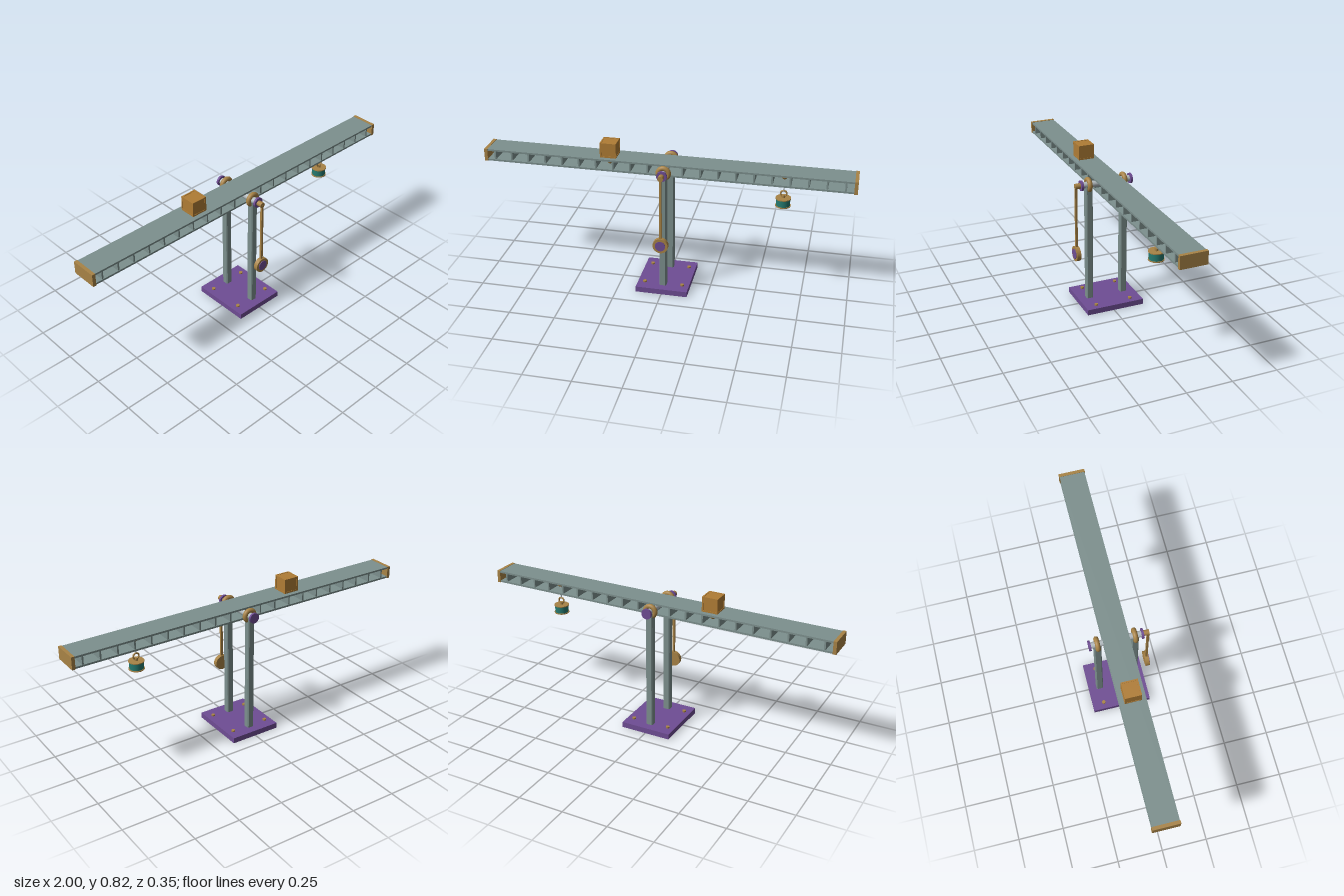
import * as THREE from 'three';

const mat = (color) => new THREE.MeshStandardMaterial({ color });
const STEEL = mat(0x7d908e), GOLD = mat(0xa88346), PURPLE = mat(0x6f4d94);
const TEAL = mat(0x257a70), SILVER = mat(0xb4bcc0), CRATE = mat(0xb07d35);

export function createModel() {
  const model = new THREE.Group();
  model.position.z = -0.01; // the swinging weight makes the frame sit slightly back
  const AXIS_Y = 0.703;

  const add = (name, geometry, material, x, y, z) => {
    const mesh = new THREE.Mesh(geometry, material);
    mesh.name = name;
    mesh.position.set(x, y, z);
    model.add(mesh);
    return mesh;
  };
  const box = (name, m, w, h, d, x, y, z) => add(name, new THREE.BoxGeometry(w, h, d), m, x, y, z);
  const disc = (name, m, r, h, x, y, z) => add(name, new THREE.CylinderGeometry(r, r, h, 32), m, x, y, z);
  // cylinder lying along z
  const pin = (name, m, r, len, x, y, z) => {
    const mesh = disc(name, m, r, len, x, y, z);
    mesh.rotation.x = Math.PI / 2;
    return mesh;
  };

  // base plate with four bolts
  box('basePlate', PURPLE, 0.286, 0.031, 0.328, 0, 0.0155, 0);
  for (const x of [-0.105, 0.105])
    for (const z of [-0.1, 0.1]) disc('baseBolt', GOLD, 0.01, 0.008, x, 0.035, z);

  // posts with chamfered corners, bearing rings and axle caps
  const a = 0.019, c = 0.014;
  const section = new THREE.Shape(
    [[a, c], [c, a], [-c, a], [-a, c], [-a, -c], [-c, -a], [c, -a], [a, -c]]
      .map(([x, y]) => new THREE.Vector2(x, y)));
  const postGeometry = new THREE.ExtrudeGeometry(section, { depth: 0.67, bevelEnabled: false });
  postGeometry.rotateX(-Math.PI / 2);
  for (const s of [-1, 1]) {
    add('post', postGeometry, STEEL, 0, 0.03, s * 0.1);
    add('bearingRing', new THREE.TorusGeometry(0.028, 0.013, 16, 40), GOLD, 0, AXIS_Y, s * 0.1);
    pin('axleCap', PURPLE, 0.028, 0.012, 0, AXIS_Y, s * 0.14);
  }
  pin('axle', SILVER, 0.017, 0.27, 0, AXIS_Y, 0);

  // hollow beam: two plates joined by cross ribs, closed by end caps
  for (const s of [-1, 1]) {
    box('beamPlate', STEEL, 1.97, 0.01, 0.138, 0, AXIS_Y + s * 0.028, 0);
    box('beamEndCap', GOLD, 0.018, 0.069, 0.143, s * 0.991, AXIS_Y, 0);
  }
  for (let i = -10; i <= 10; i++) box('beamRib', STEEL, 0.009, 0.048, 0.132, i * 0.094, AXIS_Y, 0);

  // crate with edge bars
  const crateX = -0.313, crateY = 0.777, half = 0.04;
  box('crate', CRATE, 0.084, 0.078, 0.084, crateX, crateY, 0);
  for (const s of [-1, 1]) {
    for (const t of [-1, 1]) {
      box('crateEdge', CRATE, 0.088, 0.008, 0.008, crateX, crateY + s * 0.037, t * half);
      box('crateEdge', CRATE, 0.008, 0.008, 0.088, crateX + t * half, crateY + s * 0.037, 0);
      box('crateEdge', CRATE, 0.008, 0.08, 0.008, crateX + s * half, crateY, t * half);
    }
  }

  // anchors inside the beam
  const hangX = 0.622;
  for (const x of [crateX, hangX])
    add('beamAnchor', new THREE.SphereGeometry(0.016, 20, 14), GOLD, x, AXIS_Y, 0);

  // hanging weight
  disc('cable', SILVER, 0.0035, 0.085, hangX, 0.66, 0);
  add('weightRing', new THREE.TorusGeometry(0.016, 0.0045, 12, 32), GOLD, hangX, 0.604, 0);
  disc('weightNeck', GOLD, 0.009, 0.016, hangX, 0.587, 0);
  disc('weightBody', TEAL, 0.037, 0.042, hangX, 0.556, 0);
  for (const y of [0.535, 0.5775]) disc('weightRim', GOLD, 0.041, 0.005, hangX, y, 0);

  // pendulum in front of the axle
  pin('pendulumHub', GOLD, 0.015, 0.032, 0, AXIS_Y, 0.16);
  box('pendulumRod', GOLD, 0.012, 0.39, 0.012, 0, 0.508, 0.171);
  pin('pendulumBob', GOLD, 0.042, 0.023, 0, 0.312, 0.171);
  pin('pendulumFace', PURPLE, 0.028, 0.006, 0, 0.312, 0.183);

  const root = new THREE.Group();
  root.add(model);
  return root;
}
